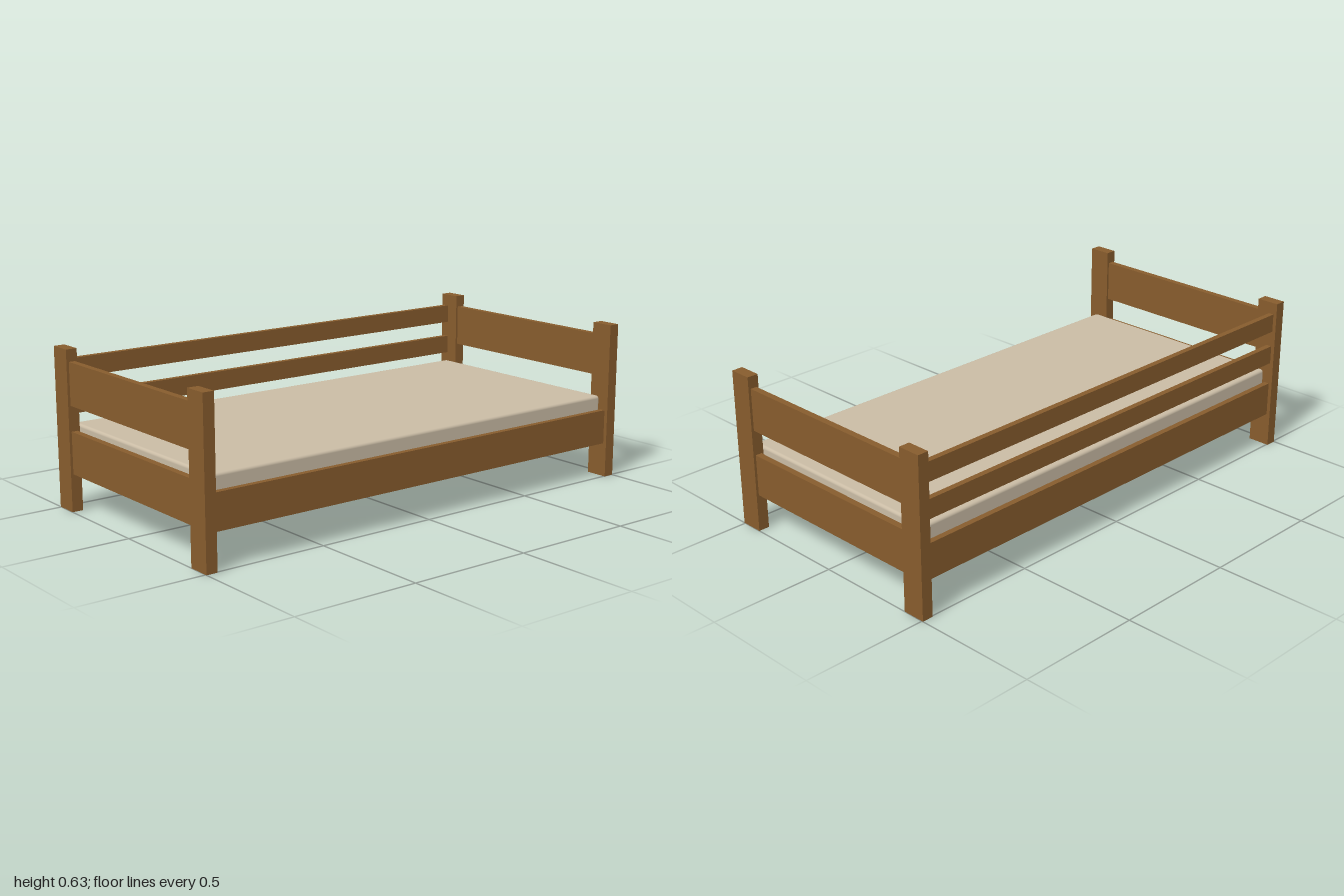
import * as THREE from 'three';
import { RoundedBoxGeometry } from 'three/addons/geometries/RoundedBoxGeometry.js';

export function createModel() {
  const bed = new THREE.Group();
  bed.name = 'bed';
  const wood = new THREE.MeshStandardMaterial({ color: 0x875c2d });
  wood.name = 'brown wood';
  const fabric = new THREE.MeshStandardMaterial({ color: 0xcabca5 });
  fabric.name = 'beige fabric';

  const add = (name, geometry, material, x, y, z) => {
    const mesh = new THREE.Mesh(geometry, material);
    mesh.name = name;
    mesh.position.set(x, y, z);
    bed.add(mesh);
  };
  // Wooden board given by its ranges on each axis
  const board = (name, [x0, x1], [y0, y1], [z0, z1]) =>
    add(name, new THREE.BoxGeometry(x1 - x0, y1 - y0, z1 - z0), wood,
      (x0 + x1) / 2, (y0 + y1) / 2, (z0 + z1) / 2);
  const side = (s, a, b) => (s > 0 ? [a, b] : [-b, -a]);

  for (const s of [1, -1]) {
    const end = s > 0 ? 'left' : 'right';
    // Corner posts
    for (const f of [1, -1]) {
      board(`${end}${f > 0 ? 'Front' : 'Back'}Post`, side(s, 0.955, 1), [0, 0.63], side(f, 0.412, 0.505));
    }
    // Head and foot boards
    board(`${end}LowerEndBoard`, side(s, 0.964, 0.99), [0.148, 0.314], [-0.412, 0.412]);
    board(`${end}UpperEndBoard`, side(s, 0.964, 0.99), [0.414, 0.582], [-0.412, 0.412]);
    // Long side rails
    board(s > 0 ? 'frontRail' : 'backRail', [-0.955, 0.955], [0.138, 0.277], side(s, 0.467, 0.49));
  }

  // Back guard rails
  board('lowerGuardRail', [-0.955, 0.955], [0.368, 0.443], [-0.49, -0.467]);
  board('upperGuardRail', [-0.955, 0.955], [0.507, 0.582], [-0.49, -0.467]);

  // Slats under the mattress
  const count = 8, width = 0.15, pitch = 0.25;
  for (let i = 0; i < count; i++) {
    const x = (i - (count - 1) / 2) * pitch;
    board('slat', [x - width / 2, x + width / 2], [0.16, 0.18], [-0.467, 0.467]);
  }

  // Mattress with softened edges
  add('mattress', new RoundedBoxGeometry(1.9, 0.155, 0.932, 2, 0.012), fabric, 0, 0.2575, 0);

  return bed;
}
